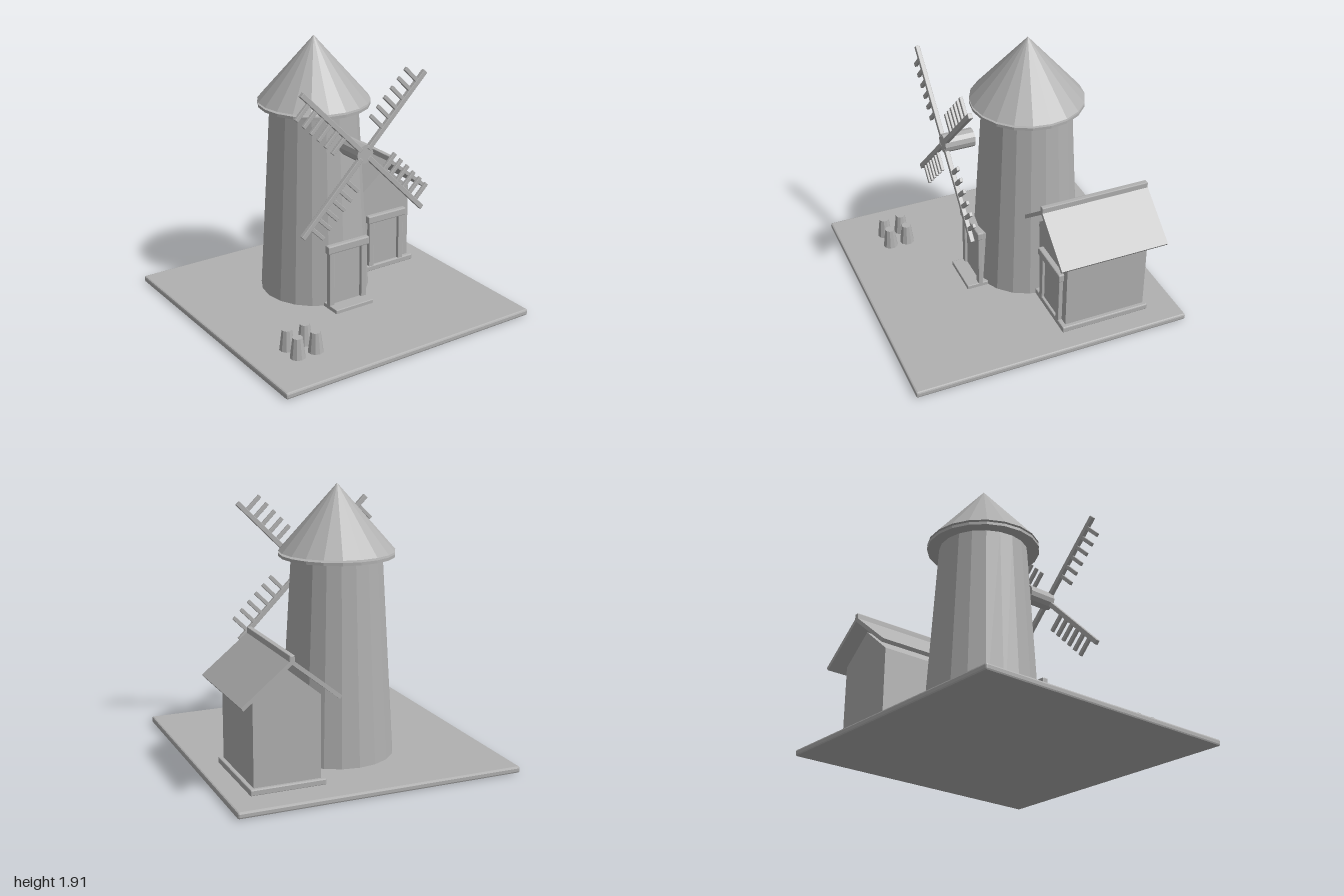
import * as THREE from 'three';
import { RoundedBoxGeometry } from 'three/addons/geometries/RoundedBoxGeometry.js';

const stone = new THREE.MeshStandardMaterial({ color: 0xb0b0b0, flatShading: true });
stone.name = 'plain grey';

function add(parent, name, geometry, x = 0, y = 0, z = 0) {
  const mesh = new THREE.Mesh(geometry, stone);
  mesh.name = name;
  mesh.position.set(x, y, z);
  parent.add(mesh);
  return mesh;
}

// Box given by its limits, with slightly chamfered edges
function box(parent, name, [x0, x1], [y0, y1], [z0, z1], bevel = 0.005) {
  const size = [x1 - x0, y1 - y0, z1 - z0];
  const geometry = bevel ? new RoundedBoxGeometry(...size, 1, bevel) : new THREE.BoxGeometry(...size);
  return add(parent, name, geometry, (x0 + x1) / 2, (y0 + y1) / 2, (z0 + z1) / 2);
}

function group(parent, name, x = 0, y = 0, z = 0) {
  const g = new THREE.Group();
  g.name = name;
  g.position.set(x, y, z);
  parent.add(g);
  return g;
}

// Door with two posts and a lintel; z = 0 is the wall plane
function doorway(parent, name, x, z, height, halfWidth) {
  const g = group(parent, name, x, 0, z);
  const inner = halfWidth - 0.045;
  box(g, 'doorPanel', [-inner + 0.005, inner - 0.005], [0.04, height - 0.06], [-0.05, 0.012], 0);
  for (const s of [-1, 1]) {
    const edges = [s * inner, s * halfWidth].sort((a, b) => a - b);
    box(g, 'doorPost', edges, [0.04, height - 0.05], [-0.005, 0.03]);
  }
  box(g, 'doorLintel', [-halfWidth - 0.015, halfWidth + 0.015], [height - 0.06, height], [-0.005, 0.04], 0.008);
  return g;
}

export function createModel() {
  const model = new THREE.Group();
  model.name = 'windmillYard';

  // Ground slab
  box(model, 'ground', [-1, 1], [0, 0.045], [-1, 1], 0.012);

  // Tower with a rim and a conical cap floating just above it
  const mill = group(model, 'windmill', 0, 0, -0.205);
  add(mill, 'tower', new THREE.CylinderGeometry(0.31, 0.393, 1.39, 20), 0, 0.735, 0);
  add(mill, 'capRim', new THREE.CylinderGeometry(0.395, 0.395, 0.02, 20), 0, 1.435, 0);
  add(mill, 'cap', new THREE.ConeGeometry(0.395, 0.45, 20), 0, 1.685, 0);

  // Tower door and step
  doorway(model, 'towerDoor', 0, 0.195, 0.53, 0.158);
  box(model, 'doorStep', [-0.158, 0.158], [0.04, 0.073], [0.15, 0.31]);

  // Hub and four sails, each with six slats on one side
  const sails = group(model, 'sails', 0, 1.23, 0);
  const hub = new THREE.CylinderGeometry(0.065, 0.065, 0.215, 12).rotateX(Math.PI / 2);
  add(sails, 'hub', hub, 0, 0, 0.305);
  for (let i = 0; i < 4; i++) {
    const sail = group(sails, 'sail', 0, 0, 0.4);
    sail.rotation.z = Math.PI / 4 + i * Math.PI / 2;
    box(sail, 'sailArm', [0.04, 0.695], [-0.0175, 0.0175], [-0.015, 0.015], 0.003);
    for (let k = 0; k < 6; k++) {
      const x = 0.215 + k * 0.0784;
      box(sail, 'sailSlat', [x - 0.014, x + 0.014], [0.005, 0.147], [-0.011, 0.011], 0.003);
    }
  }

  // House: footing, gabled body, doorway
  const house = group(model, 'house', 0.58, 0, 0);
  box(house, 'footing', [-0.26, 0.26], [0.04, 0.085], [-0.78, -0.123], 0.008);
  const gable = new THREE.Shape([
    [-0.23, 0.08], [0.23, 0.08], [0.23, 0.65], [0, 0.84], [-0.23, 0.65],
  ].map(p => new THREE.Vector2(...p)));
  add(house, 'houseBody', new THREE.ExtrudeGeometry(gable, { depth: 0.6, bevelEnabled: false }), 0, 0, -0.755);
  doorway(house, 'houseDoor', 0.013, -0.155, 0.49, 0.157);

  // Mirrored roof slabs raised above the gable, and ridge beam
  for (const s of [-1, 1]) {
    const slab = new THREE.Shape([
      [0, 0.927], [s * 0.338, 0.655], [s * 0.322, 0.634], [0, 0.893],
    ].map(p => new THREE.Vector2(...p)));
    add(house, 'roofSlab', new THREE.ExtrudeGeometry(slab, { depth: 0.79, bevelEnabled: false }), 0, 0, -0.85);
  }
  box(house, 'ridgeBeam', [-0.018, 0.018], [0.905, 0.953], [-0.85, -0.06]);

  // Four tapered sacks in the yard
  for (const x of [-0.7, -0.56]) {
    for (const z of [0.525, 0.655]) {
      add(model, 'sack', new THREE.CylinderGeometry(0.035, 0.054, 0.15, 10), x, 0.115, z);
    }
  }
  return model;
}
